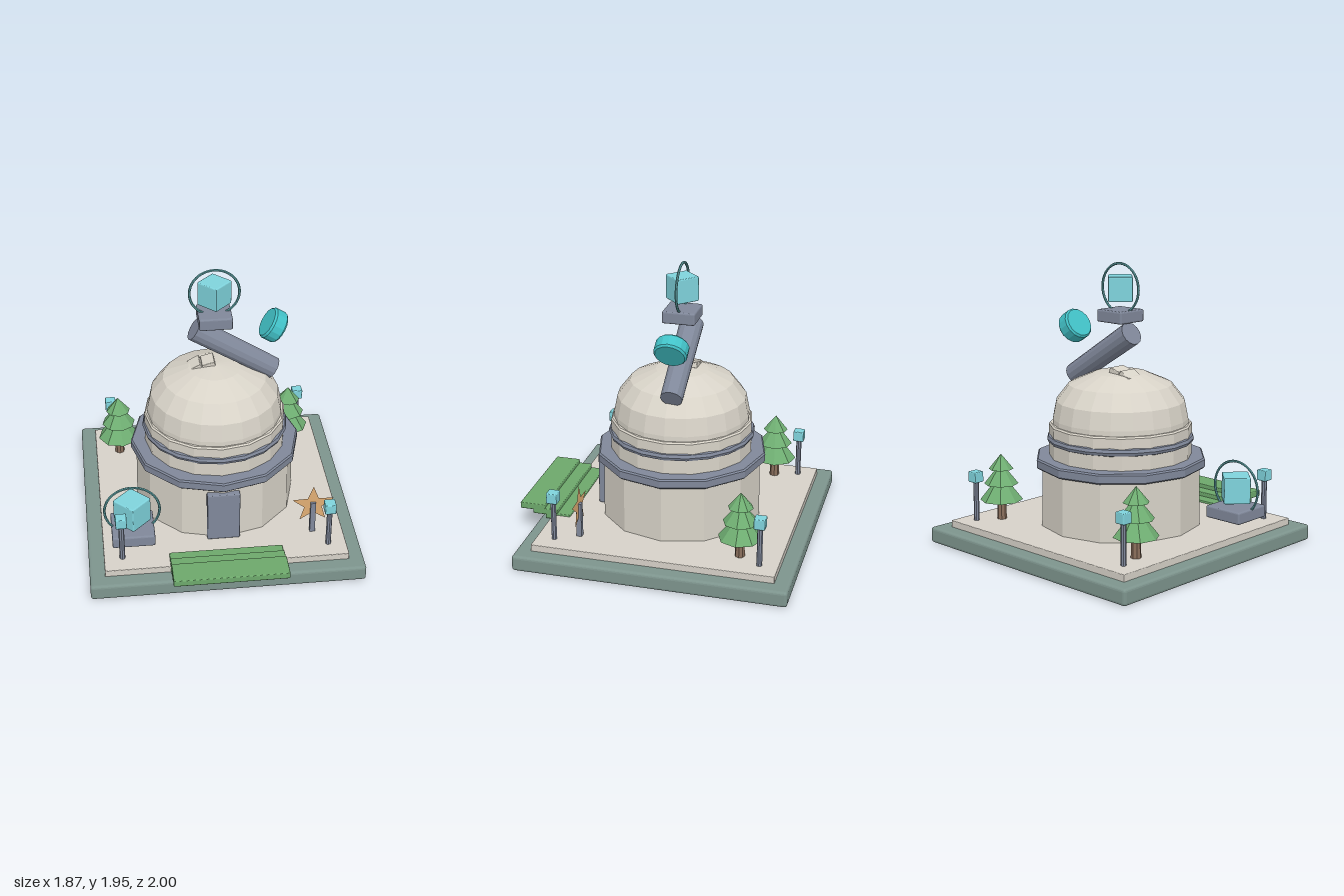
import * as THREE from 'three';
import { RoundedBoxGeometry } from 'three/addons/geometries/RoundedBoxGeometry.js';

const mat = (color, extra = {}) => new THREE.MeshStandardMaterial({ color, flatShading: true, ...extra });
const MAT = {
  base: mat(0x7d948d), paving: mat(0xd6d1c8), wall: mat(0xd8d3c8), metal: mat(0x80889a),
  crystal: mat(0x7fd3dc), lens: mat(0x42c2c8), ring: mat(0x5fa3a6), step: mat(0x6da86b),
  leaf: mat(0x6fae72), trunk: mat(0x8a6f5c), star: mat(0xe0ad74, { side: THREE.DoubleSide }),
};
const Z = -0.067; // centre line of the plot

export function createModel() {
  const root = new THREE.Group();
  root.name = 'observatory';

  const add = (name, geometry, material, x, y, z, parent = root) => {
    const mesh = new THREE.Mesh(geometry, material);
    mesh.name = name;
    mesh.position.set(x, y, z);
    parent.add(mesh);
    return mesh;
  };
  const box = (w, h, d, r = 0.01) => new RoundedBoxGeometry(w, h, d, 2, r);
  const cyl = (top, bottom, h, sides) => new THREE.CylinderGeometry(top, bottom, h, sides);
  const lathe = (points, sides) =>
    new THREE.LatheGeometry(points.map(([r, y]) => new THREE.Vector2(r, y)), sides);
  const group = (name, x, y, z) => {
    const g = new THREE.Group();
    g.name = name;
    g.position.set(x, y, z);
    root.add(g);
    return g;
  };

  // Ground slabs
  add('base', box(1.866, 0.11, 1.866, 0.02), MAT.base, 0, 0.055, Z);
  add('paving', box(1.66, 0.055, 1.66, 0.006), MAT.paving, 0, 0.13, Z);

  // Twelve-sided building with a rim and door
  add('drum', cyl(0.552, 0.558, 0.42, 12), MAT.wall, 0, 0.365, Z);
  add('rim', lathe([[0, 0.56], [0.58, 0.56], [0.59, 0.57], [0.59, 0.62], [0.58, 0.63], [0, 0.63]], 12),
    MAT.metal, 0, 0, Z);
  add('door', box(0.226, 0.375, 0.05), MAT.metal, 0, 0.343, 0.485);

  // Dome on its collar
  add('domeCollar', lathe([[0.49, 0.62], [0.49, 0.845], [0.48, 0.856], [0.4, 0.856]], 16), MAT.wall, 0, 0, Z);
  add('collarRing', new THREE.TorusGeometry(0.477, 0.029, 8, 20), MAT.metal, 0, 0.752, Z).rotation.x = Math.PI / 2;
  add('dome', lathe([[0.468, 0.83], [0.466, 0.89], [0.442, 1.01], [0.355, 1.122], [0.18, 1.198], [0, 1.22]], 20),
    MAT.wall, 0, 0, Z);

  // Shutter plates barely breaking through the crown of the dome
  [[-0.13, 1.195, 0.5], [-0.04, 1.215, 0.25]].forEach(([x, y, tilt]) => {
    add('domeShutter', box(0.09, 0.04, 0.13, 0.006), MAT.wall, x, y, -0.107).rotation.z = tilt;
  });

  // Tilted telescope with a separate front lens
  const tilt = 1.007;
  add('telescopeTube', cyl(0.082, 0.075, 0.645, 14), MAT.metal, 0.138, 1.31, -0.1).rotation.z = tilt;
  add('telescopeLens', lathe([[0, -0.052], [0.1, -0.052], [0.112, -0.038], [0.112, 0.038], [0.1, 0.052], [0, 0.052]], 16),
    MAT.lens, 0.405, 1.478, -0.1).rotation.z = tilt;

  // Crystal on a plinth inside an upright ring
  const beacon = (name, x, y, z, plinth, cube, height, ringY, ringRadius) => {
    const g = group(name, x, y, z);
    add('plinth', box(plinth, 0.085, plinth, 0.012), MAT.metal, 0, 0.0425, 0, g);
    add('crystal', box(cube, height, cube, 0.009), MAT.crystal, 0, ringY, 0, g).rotation.y = Math.PI / 4;
    add('ring', new THREE.TorusGeometry(ringRadius, 0.009, 6, 40), MAT.ring, 0, ringY, 0, g);
  };
  beacon('roofBeacon', 0, 1.545, Z, 0.226, 0.164, 0.17, 0.226, 0.167);
  beacon('yardBeacon', -0.62, 0.193, 0.434, 0.292, 0.183, 0.185, 0.207, 0.188);

  // Overlapping entrance slabs
  for (let i = 0; i < 3; i++) {
    add('step', box(0.775, 0.048, 0.18, 0.008), MAT.step, 0, 0.148 + i * 0.028, 0.725 + i * 0.0925);
  }

  // Three-tiered conifers
  [[-0.655, -0.605, 0.15, 1.02], [0.612, -0.622, 0, 1]].forEach(([x, z, turn, scale]) => {
    const g = group('tree', x, 0.155, z);
    g.rotation.y = turn;
    g.scale.setScalar(scale);
    add('trunk', cyl(0.028, 0.034, 0.18, 8), MAT.trunk, 0, 0.09, 0, g);
    [[0.148, 0.14, 0.19], [0.118, 0.255, 0.15], [0.085, 0.36, 0.105]].forEach(([r, y, h]) =>
      add('foliage', new THREE.ConeGeometry(r, h, 8), MAT.leaf, 0, y + h / 2, 0, g));
  });

  // Corner lamps
  for (const x of [-0.705, 0.705]) {
    for (const z of [-0.772, 0.637]) {
      const g = group('lamp', x, 0.15, z);
      add('lampPost', cyl(0.019, 0.019, 0.29, 8), MAT.metal, 0, 0.145, 0, g);
      add('lampHead', box(0.076, 0.076, 0.076, 0.008), MAT.crystal, 0, 0.32, 0, g);
    }
  }

  // Flat star sign on a square post
  const star = new THREE.Shape();
  for (let i = 0; i < 10; i++) {
    const r = i % 2 ? 0.064 : 0.152, a = Math.PI / 2 + (i * Math.PI) / 5;
    star[i ? 'lineTo' : 'moveTo'](r * Math.cos(a), r * Math.sin(a));
  }
  add('starSign', new THREE.ShapeGeometry(star), MAT.star, 0.618, 0.38, 0.485);
  add('starPost', new THREE.BoxGeometry(0.036, 0.25, 0.036), MAT.metal, 0.618, 0.275, 0.485);

  return root;
}
